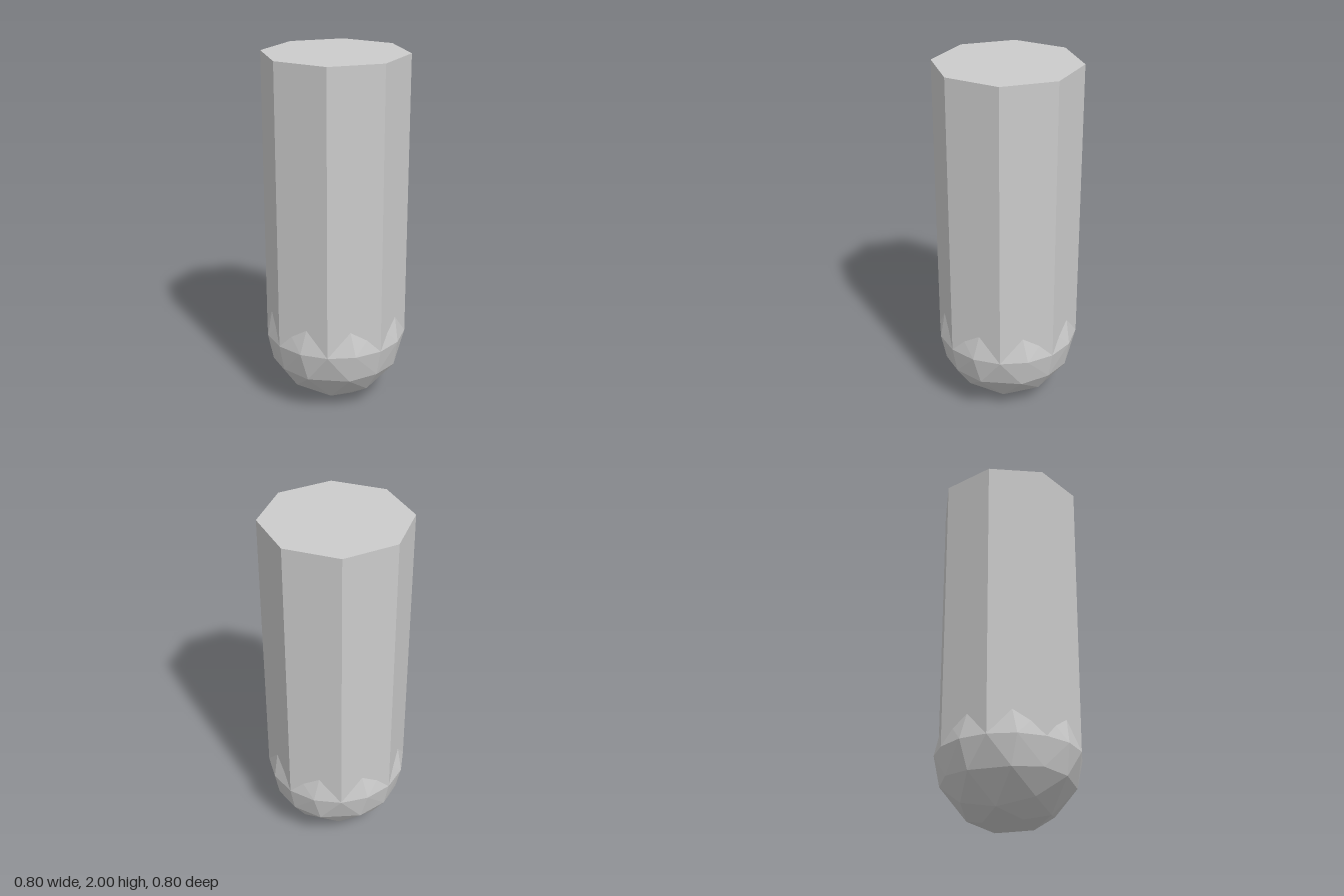
import * as THREE from 'three';

const R = 0.4;

// Octahedron whose edges are halved repeatedly, each new point pushed onto the sphere
function geodesicSphere(radius, levels) {
  const points = [];
  const split = (a, b, c, n) => {
    if (n === 0) {
      points.push(a, b, c);
      return;
    }
    const mid = (p, q) => p.clone().add(q).normalize();
    const ab = mid(a, b), bc = mid(b, c), ca = mid(c, a);
    split(a, ab, ca, n - 1);
    split(ab, b, bc, n - 1);
    split(ca, bc, c, n - 1);
    split(ab, bc, ca, n - 1);
  };
  for (const x of [1, -1]) for (const y of [1, -1]) for (const z of [1, -1]) {
    const px = new THREE.Vector3(x, 0, 0);
    const py = new THREE.Vector3(0, y, 0);
    const pz = new THREE.Vector3(0, 0, z);
    // mirrored octants need the opposite corner order
    if (x * y * z > 0) split(px, py, pz, levels);
    else split(px, pz, py, levels);
  }
  const geometry = new THREE.BufferGeometry().setFromPoints(points);
  geometry.scale(radius, radius, radius);
  geometry.computeVertexNormals();
  return geometry;
}

export function createModel() {
  const group = new THREE.Group();
  const material = new THREE.MeshStandardMaterial({ color: 0xcccccc, flatShading: true });

  // Eight-sided shaft with a flat top
  const shaft = new THREE.Mesh(new THREE.CylinderGeometry(R, R, 2 - R, 8), material);
  shaft.name = 'shaft';
  shaft.position.y = (2 + R) / 2;

  // Faceted round end, its upper half sunk into the shaft
  const roundEnd = new THREE.Mesh(geodesicSphere(R, 2), material);
  roundEnd.name = 'roundEnd';
  roundEnd.position.y = R;

  group.add(shaft, roundEnd);
  return group;
}
